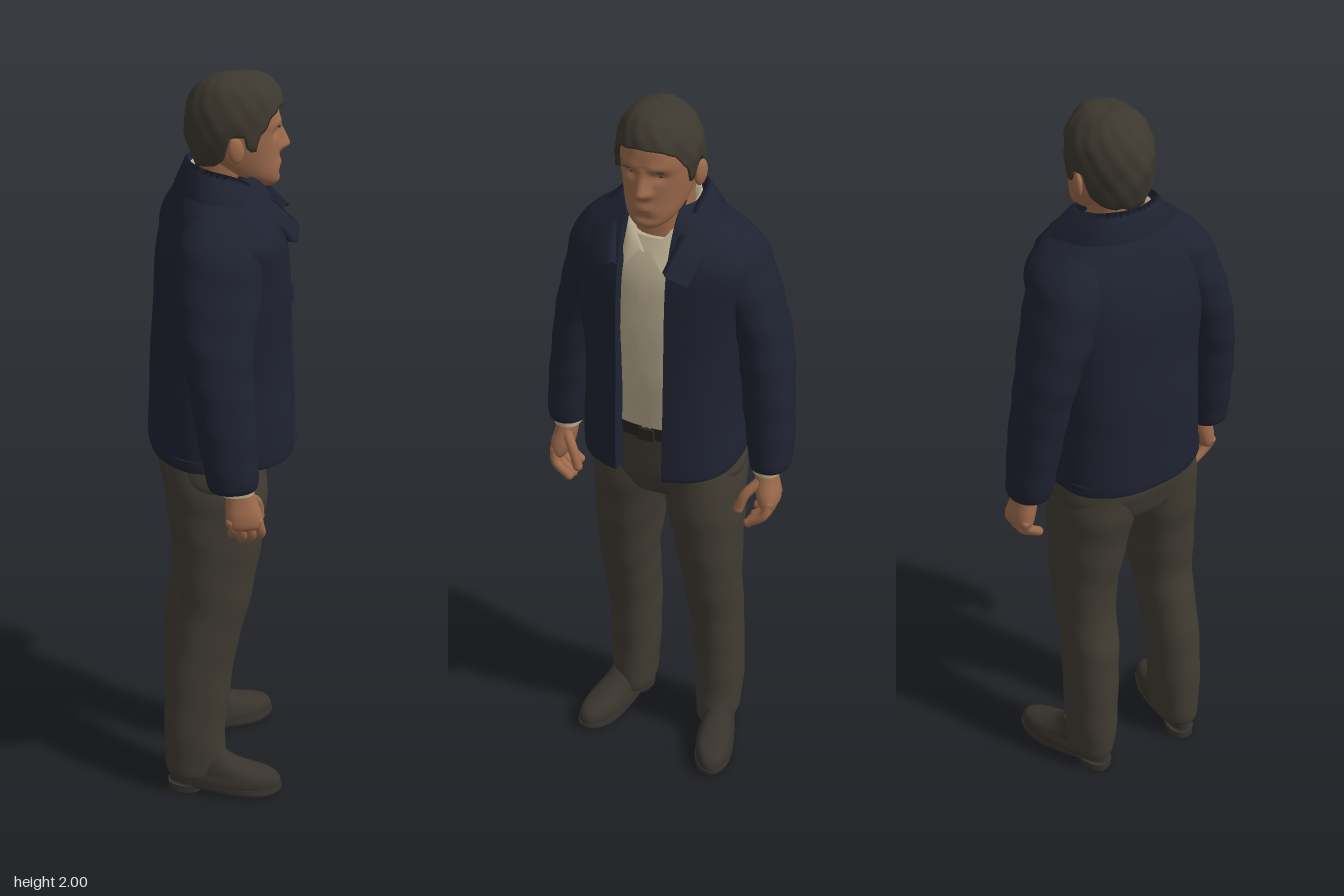
import * as THREE from 'three';

const mat = (name, color, side = THREE.FrontSide) => {
  const m = new THREE.MeshStandardMaterial({ color, side });
  m.name = name;
  return m;
};
const V = (x, y, z) => new THREE.Vector3(x, y, z);
const bump = (d, w) => Math.exp(-(d * d) / (w * w));

// Smooth surface through a grid of points, optionally closed round and capped
function gridGeo(rows, closed = false, capped = false) {
  const n = rows[0].length, pos = [], idx = [];
  rows.forEach(r => r.forEach(p => pos.push(p.x, p.y, p.z)));
  for (let i = 0; i < rows.length - 1; i++) {
    for (let j = 0; j < (closed ? n : n - 1); j++) {
      const a = i * n + j, b = i * n + (j + 1) % n;
      idx.push(a, a + n, b, b, a + n, b + n);
    }
  }
  if (capped) for (const [row, up] of [[rows[0], false], [rows[rows.length - 1], true]]) {
    const start = pos.length / 3, c = V(0, 0, 0);
    row.forEach(p => { pos.push(p.x, p.y, p.z); c.addScaledVector(p, 1 / n); });
    pos.push(c.x, c.y, c.z);
    for (let j = 0; j < n; j++) {
      const a = start + j, b = start + (j + 1) % n;
      if (up) idx.push(a, start + n, b); else idx.push(a, b, start + n);
    }
  }
  const g = new THREE.BufferGeometry();
  g.setAttribute('position', new THREE.Float32BufferAttribute(pos, 3));
  g.setIndex(idx);
  g.computeVertexNormals();
  return g;
}

// Section row: [y, back x, front x, min z, max z]
const sym = rows => rows.map(([y, a, b, h]) => [y, a, b, -h, h]);
function sample(rows, t) {
  const i = Math.min(Math.floor(t), rows.length - 2), f = t - i;
  const r = k => rows[Math.max(0, Math.min(rows.length - 1, k))];
  return rows[0].map((_, c) => {
    const [p0, p1, p2, p3] = [r(i - 1)[c], r(i)[c], r(i + 1)[c], r(i + 2)[c]];
    const m1 = (p2 - p0) / 2, m2 = (p3 - p1) / 2, f2 = f * f, f3 = f2 * f;
    return (2 * f3 - 3 * f2 + 1) * p1 + (f3 - 2 * f2 + f) * m1 + (3 * f2 - 2 * f3) * p2 + (f3 - f2) * m2;
  });
}

// Superellipse sections stacked upwards; open = half width of a front opening
function loft(rows, { p = 2.3, n = 40, sub = 6, s = 1, open = 0, deform } = {}) {
  const out = [], steps = (rows.length - 1) * sub;
  for (let i = 0; i <= steps; i++) {
    const [y, x0, x1, z0, z1] = sample(rows, i / sub);
    const cx = (x0 + x1) / 2, cz = s * (z0 + z1) / 2, rx = (x1 - x0) / 2, rz = (z1 - z0) / 2;
    const a0 = open ? Math.asin(Math.pow(Math.min(0.95, open / rz), p / 2)) : 0;
    const ring = [];
    for (let j = 0; j < n; j++) {
      const a = a0 + (2 * Math.PI - 2 * a0) * j / (open ? n - 1 : n);
      const c = Math.cos(a), d = Math.sin(a);
      const v = V(cx + rx * Math.sign(c) * Math.abs(c) ** (2 / p), y, cz + rz * Math.sign(d) * Math.abs(d) ** (2 / p));
      if (deform) deform(v, a, cx, cz);
      ring.push(v);
    }
    if (open) { // folded-in front edges
      const f = ring[0], l = ring[n - 1];
      ring.unshift(V(f.x - 0.045, y, f.z), f.clone());
      ring.push(l.clone(), V(l.x - 0.045, y, l.z));
    }
    out.push(ring);
  }
  return gridGeo(out, !open, !open);
}

// Band through curves given for one side, mirrored across z
const ribbon = curves => gridGeo(curves.map(c => {
  const pts = c.slice(1).reverse().map(([x, y, z]) => V(x, y, -z)).concat(c.map(q => V(...q)));
  return new THREE.CatmullRomCurve3(pts).getPoints(48);
}));

// Soft cloth folds
const folds = (amp, k, q) => (v, a, cx, cz) => {
  const w = 1 + amp * (Math.sin(v.y * k + 2 * Math.sin(a + q)) + 0.6 * Math.sin(v.y * k * 0.43 + 3 * a + q));
  v.x = cx + (v.x - cx) * w;
  v.z = cz + (v.z - cz) * w;
};

const JACKET = sym([
  [1.0, -0.185, 0.178, 0.204], [1.02, -0.195, 0.186, 0.212], [1.2, -0.19, 0.178, 0.206], [1.35, -0.181, 0.172, 0.212],
  [1.5, -0.172, 0.166, 0.228], [1.6, -0.152, 0.155, 0.24], [1.66, -0.135, 0.135, 0.204], [1.7, -0.12, 0.117, 0.155],
  [1.73, -0.105, 0.1, 0.117], [1.75, -0.09, 0.08, 0.092]]);
const SHIRT = sym([[1.1, -0.12, 0.122, 0.165], [1.3, -0.12, 0.14, 0.17], [1.5, -0.11, 0.138, 0.17], [1.6, -0.1, 0.12, 0.14], [1.66, -0.08, 0.09, 0.09]]);
const HIPS = sym([
  [0.862, -0.1, 0.03, 0.05], [0.885, -0.152, 0.085, 0.16], [0.94, -0.17, 0.105, 0.205],
  [1.0, -0.178, 0.11, 0.2], [1.1, -0.15, 0.112, 0.178]]);
// Front x of a section stack at a given height and width
function frontX(rows, y, z, p) {
  let lo = 0, hi = rows.length - 1;
  for (let k = 0; k < 30; k++) { const m = (lo + hi) / 2; if (sample(rows, m)[0] < y) lo = m; else hi = m; }
  const [, x0, x1, , h] = sample(rows, lo);
  return (x0 + x1) / 2 + (x1 - x0) / 2 * Math.max(0, 1 - (Math.abs(z) / h) ** p) ** (1 / p);
}
// Thin panel lying on the front of a section stack
const patch = (rows, y0, y1, z0, z1, lift, ny = 6, p = 2.3) => gridGeo(Array.from({ length: ny + 1 }, (_, i) =>
  Array.from({ length: 9 }, (_, j) => {
    const y = y0 + (y1 - y0) * i / ny, z = z0 + (z1 - z0) * j / 8;
    return V(frontX(rows, y, z, p) + lift, y, z);
  })));

export function createModel() {
  const D = THREE.DoubleSide;
  const navy = mat('navy jacket cloth', 0x1f2331, D), brown = mat('brown trouser cloth', 0x413c33, D);
  const skin = mat('skin', 0x9c6a4b), hairMat = mat('dark hair', 0x3d382f, D), cream = mat('cream shirt cloth', 0xb9ad90, D);
  const shoeMat = mat('shoe leather', 0x38332d), dark = mat('dark brown', 0x2a251f), lipMat = mat('lips', 0x87553f);
  const model = new THREE.Group();
  const add = (name, geo, m) => {
    const mesh = new THREE.Mesh(geo, m);
    mesh.name = name;
    model.add(mesh);
    return mesh;
  };
  const ball = (name, m, x, y, z, a, b, c) => {
    const o = add(name, new THREE.SphereGeometry(1, 20, 14), m);
    o.position.set(x, y, z);
    o.scale.set(a, b, c);
    return o;
  };
  const tube = (name, m, pts, r) => {
    const c = new THREE.CatmullRomCurve3(pts.map(q => V(...q)));
    add(name, new THREE.TubeGeometry(c, 12, r, 10), m);
    for (const q of [pts[0], pts[pts.length - 1]]) ball(name + 'End', m, ...q, r, r, r);
  };

  // Head with nose, brow, eye sockets and chin shaped into it
  add('head', loft(sym([
    [1.708, 0.07, 0.13, 0.024], [1.72, 0.035, 0.142, 0.046], [1.745, -0.01, 0.144, 0.067], [1.79, -0.06, 0.14, 0.083],
    [1.85, -0.075, 0.138, 0.093], [1.9, -0.075, 0.139, 0.092], [1.95, -0.045, 0.118, 0.068], [1.975, 0, 0.07, 0.03]]),
  { n: 96, sub: 12, p: 2.2, deform: v => {
    if (v.x < 0.06) return;
    const az = Math.abs(v.z), y = v.y;
    const noseH = y < 1.812 ? bump(y - 1.812, 0.015) : Math.max(0, 1 - (y - 1.812) / 0.062) ** 0.8;
    v.x += 0.031 * noseH * Math.exp(-((az / (0.013 + 0.007 * bump(y - 1.805, 0.016))) ** 3));
    v.x -= 0.011 * bump(y - 1.85, 0.012) * bump(az - 0.036, 0.02);
    v.x += 0.006 * bump(y - 1.876, 0.012) * bump(az - 0.03, 0.03);
    v.x -= 0.005 * bump(y - 1.742, 0.01) * bump(az, 0.03);
    v.x += 0.005 * bump(y - 1.768, 0.012) * bump(az, 0.026);
  } }), skin);
  add('neck', loft(sym([[1.6, -0.06, 0.085, 0.07], [1.68, -0.065, 0.075, 0.07], [1.74, -0.07, 0.07, 0.07], [1.8, -0.07, 0.07, 0.07]])), skin);
  ball('mouth', lipMat, 0.138, 1.765, 0, 0.01, 0.004, 0.024);
  for (const s of [1, -1]) {
    ball('eye', dark, 0.116, 1.851, s * 0.035, 0.006, 0.0035, 0.011);
    const brow = ball('eyebrow', hairMat, 0.13, 1.869, s * 0.037, 0.007, 0.0035, 0.019);
    brow.rotation.set(s * -0.08, s * 0.3, 0);
    const ear = ball('ear', skin, 0.018, 1.828, s * 0.1, 0.021, 0.034, 0.011);
    ear.rotation.set(0, s * 0.3, 0.15);
  }

  // Hair cap, fuller over the forehead, edged by hairline, sideburns and nape
  const line = [[0, 1.928], [0.55, 1.922], [0.85, 1.905], [1.05, 1.875], [1.18, 1.86], [1.25, 1.825], [1.4, 1.825],
    [1.48, 1.862], [1.78, 1.862], [1.95, 1.8], [2.2, 1.782], [3.15, 1.765]];
  const hairline = a => {
    const k = Math.max(1, line.findIndex(q => q[0] >= a));
    return THREE.MathUtils.mapLinear(a, line[k - 1][0], line[k][0], line[k - 1][1], line[k][1]);
  };
  const hairRows = [];
  for (let i = 0; i <= 27; i++) {
    const t = Math.min(1, i / 26), row = [];
    for (let j = 0; j < 120; j++) {
      const a = j / 120 * 2 * Math.PI, c = Math.cos(a), y = 2 - (2 - hairline(Math.min(a, 2 * Math.PI - a))) * t * t;
      const d = (y - 1.88) / 0.12;
      let r = d > 0 ? Math.sqrt(Math.max(0, 1 - d * d)) ** (0.85 - 0.4 * Math.max(0, c)) : 1 - 0.24 * d * d * (c < 0 ? 1 : 0.3);
      r *= 1 + 0.016 * Math.sin(a * 6 + y * 55) + 0.012 * Math.sin(a * 13 - y * 80);
      if (i === 27) r *= 0.82;
      const part = 0.006 * Math.sin(a - 0.6) * bump(y - 1.97, 0.03); // lifted on one side of the parting
      row.push(V(0.028 + 0.126 * r * c, y + part, 0.004 + 0.106 * r * Math.sin(a)));
    }
    hairRows.unshift(row);
  }
  add('hair', gridGeo(hairRows, true), hairMat);

  // Shirt with placket and collar
  add('shirt', loft(SHIRT, { deform: folds(0.008, 40, 1) }), cream);
  add('shirtPlacket', patch(SHIRT, 1.11, 1.63, 0.013, -0.013, 0.003, 24), cream);
  add('shirtCollar', ribbon([
    [[-0.075, 1.7, 0], [-0.04, 1.7, 0.065], [0.04, 1.67, 0.068], [0.09, 1.645, 0.03], [0.115, 1.63, 0.008]],
    [[-0.085, 1.765, 0], [-0.045, 1.76, 0.075], [0.04, 1.73, 0.078], [0.1, 1.69, 0.05], [0.132, 1.645, 0.014]],
    [[-0.09, 1.72, 0], [-0.05, 1.71, 0.085], [0.05, 1.67, 0.09], [0.11, 1.64, 0.068], [0.145, 1.6, 0.05]]]), cream);

  // Open jacket with hem, collar and chest pockets
  add('jacketBody', loft(JACKET, { n: 72, p: 2.5, open: 0.066, deform: folds(0.006, 22, 0.5) }), navy);
  add('jacketHem', loft(sym([[0.998, -0.176, 0.085, 0.196], [1.0, -0.188, 0.085, 0.207], [1.03, -0.19, 0.08, 0.207]])), navy);
  add('jacketCollar', ribbon([
    [[-0.08, 1.7, 0], [-0.05, 1.7, 0.075], [0.03, 1.67, 0.085], [0.1, 1.63, 0.075], [0.14, 1.59, 0.066]],
    [[-0.09, 1.782, 0], [-0.055, 1.778, 0.083], [0.035, 1.75, 0.095], [0.115, 1.69, 0.083], [0.178, 1.625, 0.068]],
    [[-0.098, 1.772, 0], [-0.062, 1.766, 0.092], [0.04, 1.737, 0.106], [0.12, 1.682, 0.097], [0.184, 1.617, 0.078]],
    [[-0.122, 1.712, 0], [-0.08, 1.71, 0.123], [0.045, 1.69, 0.162], [0.122, 1.65, 0.148], [0.17, 1.592, 0.13]],
    [[-0.11, 1.702, 0], [-0.07, 1.7, 0.11], [0.04, 1.682, 0.148], [0.108, 1.642, 0.135], [0.148, 1.59, 0.115]]]), navy);
  for (const s of [1, -1]) {
    add('pocketFlap', patch(JACKET, 1.428, 1.472, s * 0.1, s * 0.2, 0.008, 6, 2.5), navy);
    add('frontPlacket', patch(JACKET, 1.01, 1.6, s * 0.067, s * 0.095, 0.004, 30, 2.5), navy);
  }

  // Arms, cuffs and hands
  for (const s of [1, -1]) {
    add('sleeve', loft([
      [1.0, -0.075, 0.045, 0.24, 0.342], [1.03, -0.085, 0.05, 0.235, 0.347], [1.15, -0.105, 0.045, 0.215, 0.343],
      [1.28, -0.125, 0.042, 0.198, 0.332], [1.38, -0.14, 0.045, 0.17, 0.316], [1.5, -0.147, 0.07, 0.12, 0.285],
      [1.6, -0.136, 0.082, 0.07, 0.254], [1.645, -0.118, 0.075, 0.06, 0.225], [1.675, -0.095, 0.055, 0.06, 0.187],
      [1.695, -0.06, 0.02, 0.07, 0.155]],
    { s, p: 2.2, n: 48, deform: folds(0.018, 60, s) }), navy);
    add('shirtCuff', loft([[0.985, -0.05, 0.04, 0.252, 0.325], [1.01, -0.05, 0.04, 0.252, 0.325]], { s, sub: 2 }), cream);
    add('palm', loft([
      [0.885, -0.02, 0.05, 0.288, 0.318], [0.9, -0.033, 0.06, 0.278, 0.328], [0.93, -0.035, 0.058, 0.268, 0.328],
      [0.965, -0.033, 0.045, 0.262, 0.32], [1.01, -0.03, 0.03, 0.26, 0.312]], { s }), skin);
    for (let i = 0; i < 4; i++) {
      const x = -0.024 + i * 0.024, d = i === 0 ? 0.015 : i === 3 ? 0.005 : 0;
      tube('finger', skin, [[x, 0.91, s * 0.31], [x + 0.008, 0.872 + d, s * 0.303], [x + 0.012, 0.84 + d, s * 0.262]], 0.0128);
    }
    tube('thumb', skin, [[0.03, 0.965, s * 0.28], [0.055, 0.93, s * 0.25], [0.062, 0.885, s * 0.234]], 0.0135);
  }

  // Trousers and belt
  add('trouserHips', loft(HIPS, { deform: folds(0.005, 35, 0) }), brown);
  add('belt', loft(sym([[1.08, -0.155, 0.123, 0.18], [1.118, -0.155, 0.127, 0.18]]), { sub: 2 }), dark);
  add('beltBuckle', new THREE.BoxGeometry(0.009, 0.034, 0.044), dark).position.set(0.13, 1.099, 0);
  add('fly', patch(HIPS, 0.93, 1.075, 0.022, -0.004, 0.004), brown);

  for (const s of [1, -1]) {
    const step = s > 0 ? 0 : 0.036; // left foot is set slightly forward
    const leg = [
      [0.05, -0.17, -0.02, 0.09, 0.188], [0.08, -0.177, -0.012, 0.08, 0.196], [0.2, -0.18, -0.012, 0.07, 0.203],
      [0.4, -0.169, 0.012, 0.06, 0.202], [0.5, -0.151, 0.035, 0.054, 0.202], [0.6, -0.136, 0.058, 0.046, 0.205],
      [0.75, -0.148, 0.086, 0.024, 0.208], [0.85, -0.16, 0.1, 0.003, 0.208], [0.92, -0.167, 0.103, -0.01, 0.206],
      [1.02, -0.165, 0.095, -0.01, 0.186]]
      .map(([y, a, b, c, d]) => [y, a + step * (1 - y), b + step * (1 - y), c, d]);
    add('trouserLeg', loft(leg, { s, p: 2.2, deform: folds(0.014, 42, s * 1.3) }), brown);

    // Shoes, toes turned outwards
    const shoe = new THREE.Group();
    shoe.name = 'shoe';
    const taper = v => { v.z *= 1 + 0.14 * Math.sin((v.x + 0.02) * 14); };
    const part = (name, rows) => {
      const mesh = new THREE.Mesh(loft(sym(rows), { p: 2.3, deform: taper }), shoeMat);
      mesh.name = name;
      shoe.add(mesh);
    };
    part('heel', [[0, -0.155, -0.06, 0.043], [0.022, -0.156, -0.055, 0.044]]);
    part('sole', [[0.002, -0.04, 0.145, 0.043], [0.012, -0.1, 0.158, 0.048], [0.026, -0.157, 0.16, 0.049]]);
    part('upper', [[0.022, -0.153, 0.157, 0.048], [0.045, -0.152, 0.155, 0.048], [0.064, -0.148, 0.136, 0.044],
      [0.08, -0.143, 0.08, 0.042], [0.1, -0.138, 0.03, 0.04], [0.13, -0.13, -0.005, 0.036]]);
    shoe.position.set(-0.019 + step, 0, s * 0.165);
    shoe.rotation.y = -s * 0.25;
    model.add(shoe);
  }
  return model;
}
